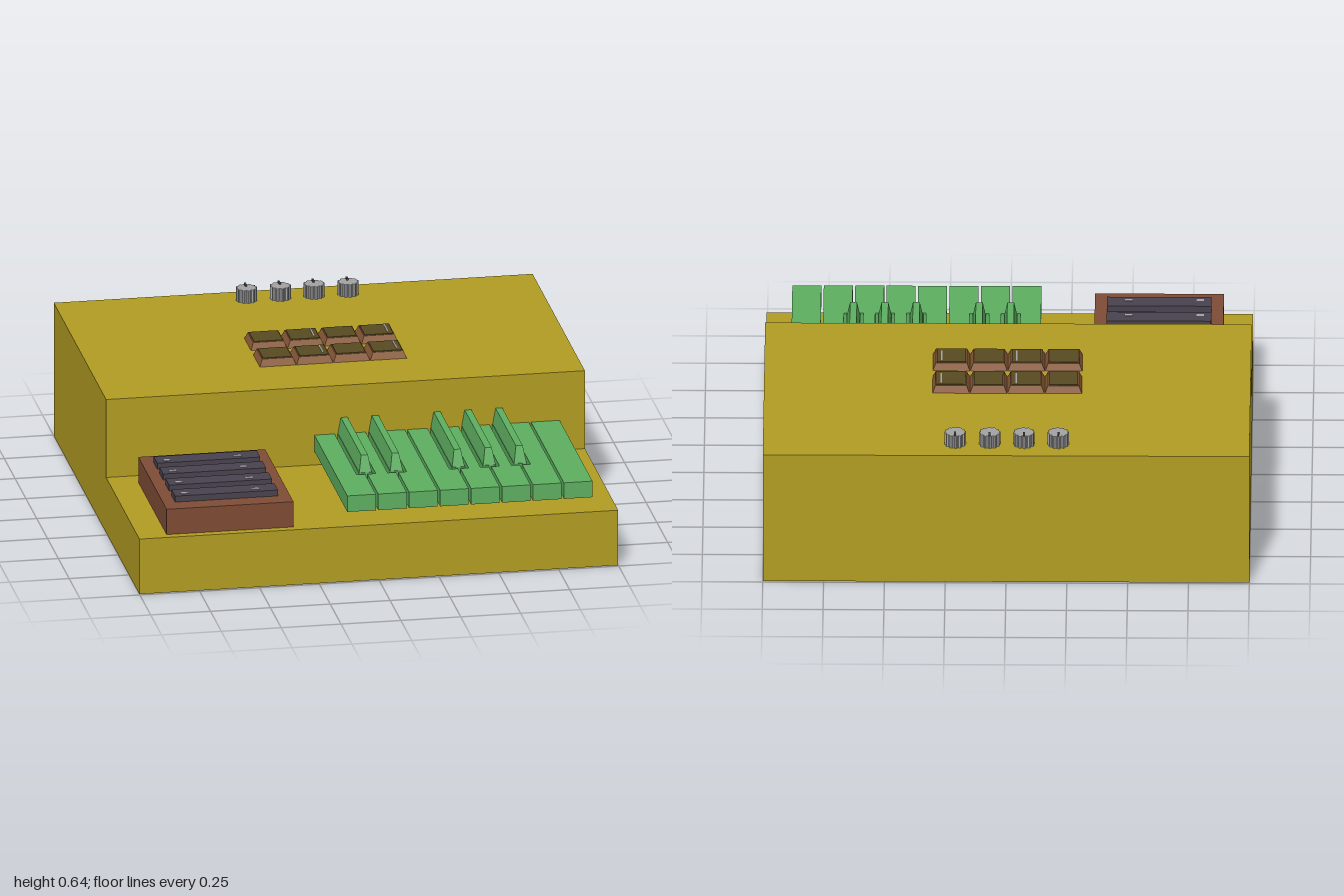
import * as THREE from 'three';

const mat = (name, color) => Object.assign(new THREE.MeshStandardMaterial({ color }), { name });

export function createModel() {
  const root = new THREE.Group();
  root.name = 'keyboardSynth';
  const ochre = mat('ochre body', 0xb19c22);
  const green = mat('green keys', 0x5dae60);
  const redBrown = mat('red brown box', 0x7e4c35);
  const slate = mat('slate bars', 0x48424e);
  const brown = mat('brown pad', 0x8a5a36);
  const olive = mat('olive pad face', 0x574b22);
  const grey = mat('grey knobs', 0xa2a2a4);
  const dark = mat('dark pointer', 0x4a4a4c);

  const add = (name, geo, material) => {
    const mesh = new THREE.Mesh(geo, material);
    mesh.name = name;
    root.add(mesh);
    return mesh;
  };
  // box given by its limits
  const box = (name, material, x0, x1, y0, y1, z0, z1) => {
    const m = add(name, new THREE.BoxGeometry(x1 - x0, y1 - y0, z1 - z0), material);
    m.position.set((x0 + x1) / 2, (y0 + y1) / 2, (z0 + z1) / 2);
    return m;
  };
  // outline in plan as [x, z], raised from y0 to y1
  const slab = (pts, y0, y1) => {
    const shape = new THREE.Shape(pts.map(([x, z]) => new THREE.Vector2(x, -z)));
    return new THREE.ExtrudeGeometry(shape, { depth: y1 - y0, bevelEnabled: false })
      .rotateX(-Math.PI / 2).translate(0, y0, 0);
  };
  // box whose top is drawn in at the sides, back and front
  const taper = (w, h, d, side, back, front) => {
    const g = new THREE.BoxGeometry(w, h, d).toNonIndexed();
    const p = g.attributes.position;
    for (let i = 0; i < p.count; i++) {
      if (p.getY(i) < 0) continue;
      p.setX(i, p.getX(i) - Math.sign(p.getX(i)) * side);
      p.setZ(i, p.getZ(i) + (p.getZ(i) > 0 ? -front : back));
    }
    g.computeVertexNormals();
    return g;
  };

  // stepped body, extruded across the width
  const profile = [[-0.99, 0], [0.99, 0], [0.99, 0.24], [0.22, 0.24], [0.22, 0.58], [-0.99, 0.58]];
  const side = new THREE.Shape(profile.map(([z, y]) => new THREE.Vector2(-z, y)));
  add('body', new THREE.ExtrudeGeometry(side, { depth: 2, bevelEnabled: false })
    .rotateY(Math.PI / 2).translate(-1, 0, 0), ochre);

  // wide keys, notched where a raised key stands between them
  const keyX = -0.13, pitch = 0.1293, gap = 0.01, back = 0.21, front = 0.98;
  const raised = [0, 1, 3, 4, 5];
  const seam = (i) => keyX + pitch * (i + 1) - gap / 2;
  for (let i = 0; i < 8; i++) {
    const l = keyX + pitch * i, r = l + pitch - gap;
    const pts = [[l, front], [r, front]];
    if (raised.includes(i)) pts.push([r, 0.73], [seam(i) - 0.04, 0.73], [seam(i) - 0.04, back]);
    else pts.push([r, back]);
    if (raised.includes(i - 1)) pts.push([seam(i - 1) + 0.04, back], [seam(i - 1) + 0.04, 0.73], [l, 0.73]);
    else pts.push([l, back]);
    add('wideKey', slab(pts, 0.3, 0.37), green);
  }

  // raised keys with sloped flanks and nose
  for (const i of raised) {
    const x = seam(i);
    box('raisedKeyBase', green, x - 0.028, x + 0.028, 0.3, 0.372, back, 0.718);
    add('raisedKey', taper(0.052, 0.068, 0.505, 0.012, 0, 0.025), green)
      .position.set(x, 0.406, 0.4625);
  }

  // block with four bars, each with two small fixings
  box('barBlock', redBrown, -0.88, -0.35, 0.24, 0.35, 0.3, 0.955);
  [0.42, 0.555, 0.695, 0.832].forEach((z) => {
    box('bar', slate, -0.83, -0.4, 0.34, 0.376, z - 0.042, z + 0.042);
    for (const x of [-0.784, -0.49])
      box('barFixing', grey, x - 0.015, x + 0.015, 0.374, 0.378, z + 0.004, z + 0.02);
  });

  // two rows of pads
  for (const z of [-0.343, -0.137]) {
    for (let i = 0; i < 4; i++) {
      const x = (i - 1.5) * 0.154;
      add('pad', taper(0.152, 0.03, 0.154, 0.012, 0.012, 0.012), brown).position.set(x, 0.595, z);
      box('padFace', olive, x - 0.06, x + 0.06, 0.608, 0.613, z - 0.06, z + 0.06);
      if (i % 2) box('padMark', grey, x + 0.037, x + 0.043, 0.612, 0.615, z - 0.055, z + 0.04);
    }
  }

  // ribbed knobs with a pointer
  for (const x of [-0.214, -0.073, 0.068, 0.21]) {
    const rim = [];
    for (let k = 0; k < 48; k++) {
      const a = (k / 48) * Math.PI * 2, r = k % 4 < 2 ? 0.044 : 0.039;
      rim.push([x + Math.cos(a) * r, -0.882 - Math.sin(a) * r]);
    }
    add('knob', slab(rim, 0.58, 0.635), grey);
    box('knobPointer', dark, x - 0.004, x + 0.004, 0.632, 0.642, -0.922, -0.895);
  }
  return root;
}
